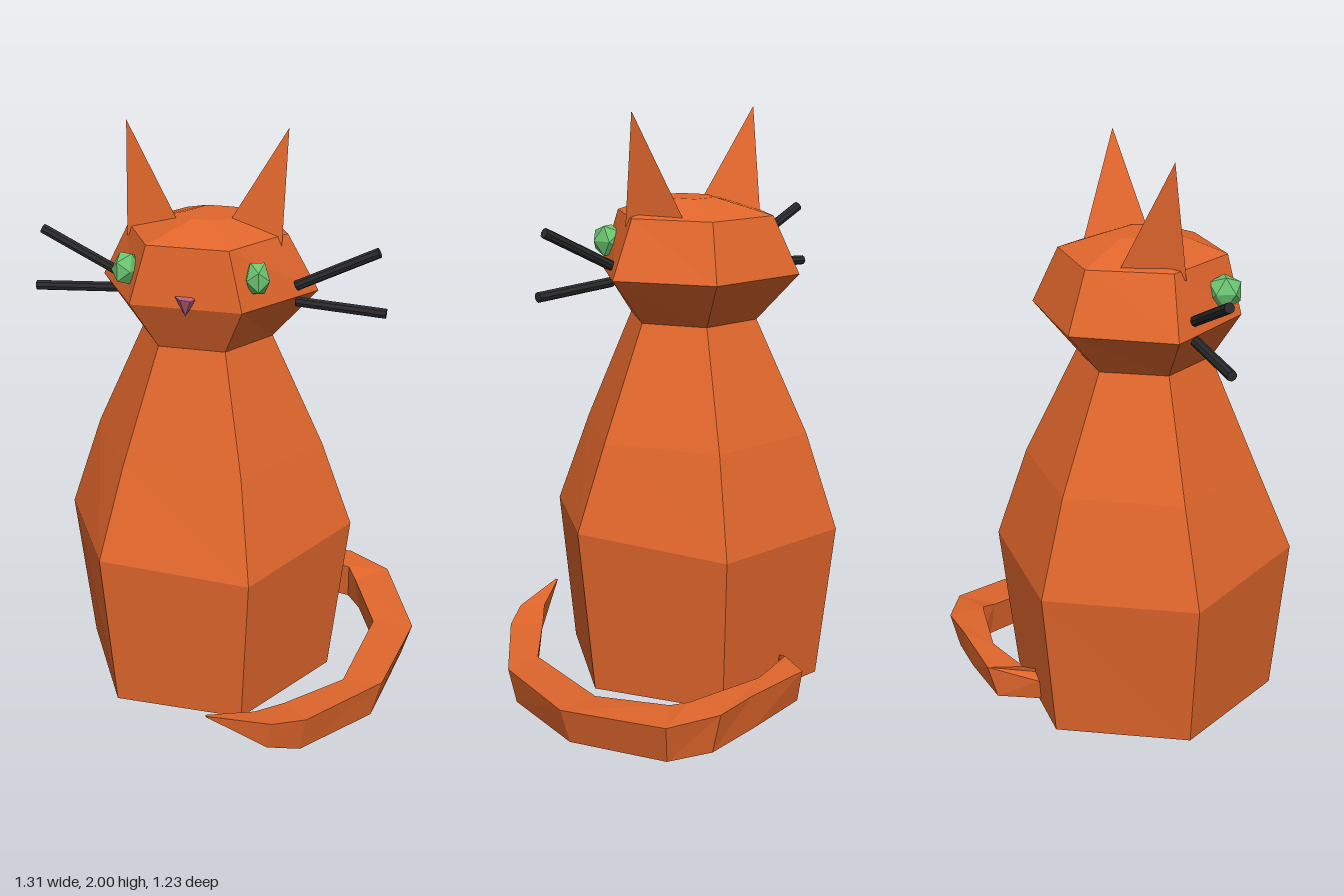
import * as THREE from 'three';

const paint = (color) => new THREE.MeshStandardMaterial({ color, flatShading: true });
const MID = -0.073; // symmetry line of body and head

// Skin a series of equal-length rings and close both ends
function loft(rings) {
  const pos = [];
  const tri = (a, b, c) => pos.push(...a, ...b, ...c);
  const centre = (r) => [0, 1, 2].map((k) => r.reduce((s, p) => s + p[k], 0) / r.length);
  const n = rings[0].length;
  const first = rings[0], last = rings[rings.length - 1];
  const c0 = centre(first), c1 = centre(last);
  for (let i = 0; i < n; i++) {
    const j = (i + 1) % n;
    for (let k = 0; k < rings.length - 1; k++) {
      const lo = rings[k], hi = rings[k + 1];
      tri(lo[i], hi[i], hi[j]);
      tri(lo[i], hi[j], lo[j]);
    }
    tri(c0, first[i], first[j]);
    tri(c1, last[j], last[i]);
  }
  const g = new THREE.BufferGeometry();
  g.setAttribute('position', new THREE.Float32BufferAttribute(pos, 3));
  g.computeVertexNormals();
  return g;
}

// Horizontal hexagon with corners on the left and right
function hexRing([y, rx, zFront, zBack, cx = MID]) {
  const zc = (zFront + zBack) / 2, hz = (zFront - zBack) / 2;
  return Array.from({ length: 6 }, (_, i) => {
    const a = (i * Math.PI) / 3;
    return [cx + rx * Math.cos(a), y, zc + (hz * Math.sin(a)) / Math.sin(Math.PI / 3)];
  });
}

export function createModel() {
  const model = new THREE.Group();
  const fur = paint(0xe0662c), green = paint(0x6cc570);
  const pink = paint(0xc0607f), black = paint(0x2a2a2c);
  const add = (name, geometry, material, parent = model) => {
    const mesh = new THREE.Mesh(geometry, material);
    mesh.name = name;
    parent.add(mesh);
    return mesh;
  };

  // Body: y, half width, front z, back z
  const bodyRings = [
    [0.06, 0.445, 0.4, -0.41], [0.6, 0.51, 0.44, -0.458],
    [0.93, 0.4, 0.325, -0.36], [1.31, 0.225, 0.19, -0.2],
  ].map(hexRing);
  bodyRings[1][0][1] = 0.64; // uneven hip line
  bodyRings[1][2][1] = 0.625;
  add('body', loft(bodyRings), fur);

  // Head with a low crown
  add('head', loft([
    [1.31, 0.225, 0.19, -0.2], [1.47, 0.37, 0.26, -0.325],
    [1.66, 0.27, 0.23, -0.25], [1.715, 0.09, 0.09, -0.09, -0.05],
  ].map(hexRing)), fur);

  // Tail: outer x, z, inner x, z, bottom y, top y
  const tail = [
    [-0.14, -0.42, -0.12, -0.34, 0.08, 0.16], [-0.05, -0.58, -0.09, -0.46, 0.08, 0.2],
    [0.2, -0.6, 0.09, -0.52, 0.07, 0.2], [0.35, -0.615, 0.365, -0.485, 0.05, 0.19],
    [0.51, -0.54, 0.4, -0.43, 0.035, 0.17], [0.655, -0.19, 0.51, -0.185, 0.02, 0.145],
    [0.6, 0.185, 0.465, 0.2, 0.0, 0.135], [0.39, 0.475, 0.3, 0.4, 0.01, 0.145],
    [0.29, 0.555, 0.22, 0.5, 0.06, 0.165], [0.085, 0.612, 0.08, 0.605, 0.195, 0.2],
  ].map(([ox, oz, ix, iz, y0, y1]) => {
    const at = (t, y) => [ox + (ix - ox) * t, y, oz + (iz - oz) * t];
    return [at(0, y1), at(0.25, y0), at(0.85, y0), at(1, y1)];
  });
  add('tail', loft(tail), fur);

  // Paired face parts, mirrored about the centre line
  for (const [side, s] of [['left', 1], ['right', -1]]) {
    const p = (x, y, z) => [MID + s * x, y, z];

    const base = [p(0.26, 1.63, 0.035), p(0.07, 1.67, 0.05), p(0.17, 1.66, -0.15)];
    if (s > 0) base.reverse();
    const tip = p(0.268, 2, -0.01);
    // Ring order must run from x towards z for outward faces
    add(side + 'Ear', loft([base.reverse(), [tip, tip, tip]]), fur);

    const eye = add(side + 'Eye', new THREE.IcosahedronGeometry(0.06), green);
    eye.position.set(...p(0.216, 1.565, 0.185));
    eye.scale.x = 0.72;
    eye.rotation.y = s * 0.3;

    const whiskers = new THREE.Group();
    whiskers.name = side + 'Whiskers';
    model.add(whiskers);
    for (const [x0, y0, x1, y1] of [[0.3, 1.505, 0.565, 1.635], [0.3, 1.452, 0.595, 1.435]]) {
      const a = new THREE.Vector3(...p(x0, y0, 0.045));
      const b = new THREE.Vector3(...p(x1, y1, 0.045));
      a.x += 0.012;
      b.x += 0.012;
      const d = b.clone().sub(a);
      const hair = add('whisker', new THREE.CylinderGeometry(0.017, 0.017, d.length(), 8), black, whiskers);
      hair.position.copy(a).add(b).multiplyScalar(0.5);
      hair.quaternion.setFromUnitVectors(new THREE.Vector3(0, 1, 0), d.normalize());
    }
  }

  // Nose: small cone pointing down
  const nose = add('nose', new THREE.ConeGeometry(0.04, 0.06, 6), pink);
  nose.rotation.set(Math.PI, Math.PI / 6, 0, 'XYZ');
  nose.scale.z = 0.6;
  nose.position.set(-0.07, 1.478, 0.267);

  return model;
}
